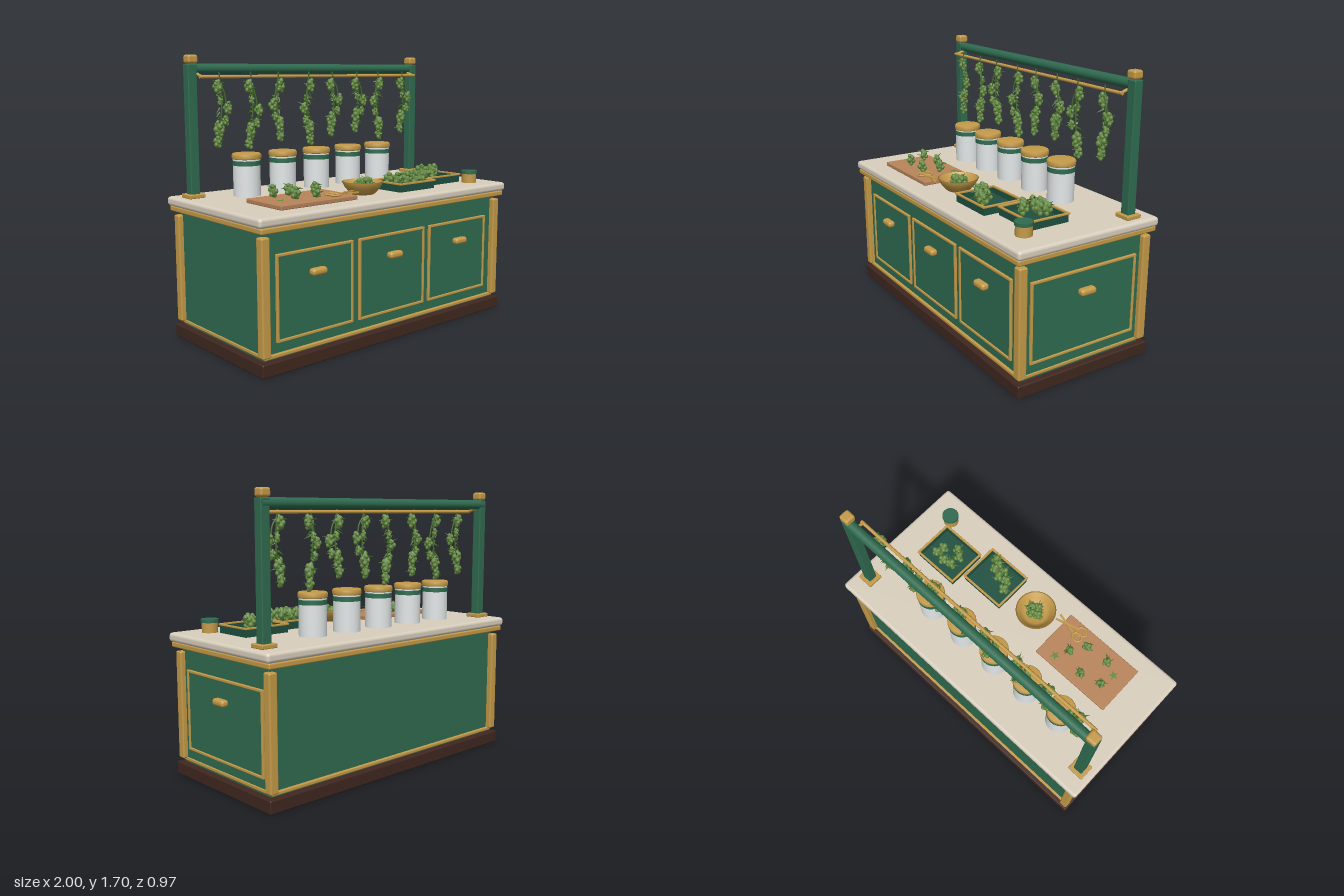
import * as THREE from 'three';
import { mergeGeometries } from 'three/addons/utils/BufferGeometryUtils.js';
import { RoundedBoxGeometry } from 'three/addons/geometries/RoundedBoxGeometry.js';

const mat = (name, color) => Object.assign(new THREE.MeshStandardMaterial({ color }), { name });

export function createModel() {
  const M = {
    green: mat('cabinet green', 0x2f6b50),
    darkGreen: mat('tray green', 0x1f5040),
    gold: mat('gold', 0xc49a48),
    brown: mat('dark plinth brown', 0x3f271f),
    stone: mat('stone worktop', 0xd9cfbe),
    white: mat('jar white', 0xe4e9e9),
    wood: mat('board wood', 0xb8845a),
    bud: mat('bud green', 0x668c42),
    leaf: mat('leaf green', 0x48702f),
  };
  M.leaf.side = THREE.DoubleSide;
  const model = new THREE.Group();
  model.name = 'herbCounter';

  let seed = 7;
  const rnd = () => (seed = (seed * 16807) % 2147483647) / 2147483647;

  const add = (name, geo, material, x = 0, y = 0, z = 0, parent = model) => {
    const m = new THREE.Mesh(geo, material);
    m.name = name;
    m.position.set(x, y, z);
    parent.add(m);
    return m;
  };
  const box = (name, material, w, h, d, x, y, z, r = 0, parent = model) =>
    add(name, r ? new RoundedBoxGeometry(w, h, d, 2, r) : new THREE.BoxGeometry(w, h, d), material, x, y, z, parent);
  const cyl = (name, material, rTop, rBot, h, x, y, z, parent = model) =>
    add(name, new THREE.CylinderGeometry(rTop, rBot, h, 32), material, x, y, z, parent);
  const group = (name, x, y, z) => {
    const g = new THREE.Group();
    g.name = name;
    g.position.set(x, y, z);
    model.add(g);
    return g;
  };

  // Cabinet body, plinth, mouldings and worktop
  box('plinth', M.brown, 1.96, 0.077, 0.926, 0, 0.0385, 0, 0.008);
  box('cabinetBody', M.green, 1.88, 0.71, 0.84, 0, 0.43, 0);
  box('bottomMoulding', M.gold, 1.89, 0.022, 0.872, 0, 0.096, 0, 0.006);
  box('topMoulding', M.gold, 1.97, 0.032, 0.95, 0, 0.794, 0, 0.008);
  box('worktop', M.stone, 2, 0.056, 0.966, 0, 0.838, 0, 0.02);
  for (const sx of [-1, 1]) for (const sz of [-1, 1])
    box('cornerPost', M.gold, 0.055, 0.655, 0.055, sx * 0.943, 0.428, sz * 0.428, 0.01);

  // Framed drawer fronts with a pull, three in front and one on the left end
  const drawer = (x, z, w, turn) => {
    const g = group('drawerFront', x, 0.408, z);
    g.rotation.y = turn;
    const h = 0.488, t = 0.016;
    box('panel', M.green, w - t, h - t, 0.008, 0, 0, 0.002, 0, g);
    for (const s of [-1, 1]) {
      box('frameRail', M.gold, w, t, 0.018, 0, s * (h - t) / 2, 0.005, 0.004, g);
      box('frameStile', M.gold, t, h, 0.018, s * (w - t) / 2, 0, 0.005, 0.004, g);
    }
    box('pull', M.gold, 0.106, 0.042, 0.05, 0, 0.113, 0.028, 0.018, g);
  };
  for (const x of [-0.589, 0, 0.585]) drawer(x, 0.42, 0.545, 0);
  drawer(0.94, 0, 0.735, Math.PI / 2);

  // Drying rack
  for (const s of [-1, 1]) {
    box('rackFoot', M.gold, 0.105, 0.024, 0.1, s * 0.905, 0.878, -0.33, 0.005);
    box('rackPost', M.green, 0.06, 0.77, 0.058, s * 0.905, 1.26, -0.329, 0.006);
    box('postCap', M.gold, 0.066, 0.05, 0.066, s * 0.9, 1.673, -0.328, 0.014);
    const arm = cyl('rodBracket', M.gold, 0.009, 0.009, 0.07, s * 0.865, 1.58, -0.292);
    arm.rotation.x = Math.PI / 2 + 0.3;
  }
  cyl('rackBeam', M.green, 0.03, 0.03, 1.84, 0, 1.618, -0.332).rotation.z = Math.PI / 2;
  cyl('hangingRod', M.gold, 0.01, 0.01, 1.76, 0, 1.572, -0.265).rotation.z = Math.PI / 2;

  // Storage jars
  for (let i = 0; i < 5; i++) {
    const g = group('storageJar', -0.615 + i * 0.2675, 0.866, -0.198);
    cyl('jarBody', M.white, 0.082, 0.082, 0.222, 0, 0.111, 0, g);
    cyl('jarBand', M.green, 0.085, 0.085, 0.028, 0, 0.198, 0, g);
    const lid = [[0, 0], [0.084, 0], [0.088, 0.005], [0.088, 0.026], [0.082, 0.034], [0, 0.036]];
    add('jarLid', new THREE.LatheGeometry(lid.map(p => new THREE.Vector2(...p)), 32), M.gold, 0, 0.221, 0, g);
  }

  // Buds: an elongated core ringed by lobes, with small pointed leaves
  const lobe = (list, x, y, z, rx, ry, rz) =>
    list.push(new THREE.IcosahedronGeometry(1, 1).scale(rx, ry, rz).translate(x, y, z));
  const spike = (list, x, y, z, len, tilt, a) =>
    list.push(new THREE.ConeGeometry(len * 0.16, len, 5).translate(0, len / 2, 0)
      .rotateZ(-tilt).rotateY(a).translate(x, y, z));
  const bud = (parts, x, y, z, r, h, n = 9) => {
    lobe(parts.buds, x, y, z, r * 0.68, h * 0.5, r * 0.68);
    for (let i = 0; i < n; i++) {
      const t = (i + 0.5) / n, a = i * 2.4 + rnd();
      const d = r * 0.62 * Math.sin(Math.PI * (0.15 + 0.75 * t)), s = r * (0.36 + 0.14 * rnd());
      lobe(parts.buds, x + Math.cos(a) * d, y + (t - 0.5) * h * 0.8, z + Math.sin(a) * d, s, s * 1.2, s);
    }
    for (let i = 0; i < 4; i++)
      spike(parts.leaves, x, y + (rnd() - 0.3) * h * 0.5, z, r * 1.6, 1 + rnd() * 0.9, rnd() * 6.28);
  };
  const finish = (name, parts) => {
    const g = group(name, 0, 0, 0);
    add('buds', mergeGeometries(parts.buds), M.bud, 0, 0, 0, g);
    add('leavesAndStems', mergeGeometries(parts.leaves), M.leaf, 0, 0, 0, g);
  };

  // Hanging bundles: [x, bottom y, side of the branch, height of the branch]
  const bundles = [[-0.757, 1.155, 1, 1.39], [-0.537, 1.134, 1, 1.37], [-0.33, 1.166, -1, 1.4], [-0.09, 1.13, -1, 1.37],
    [0.104, 1.176, 1, 1.42], [0.318, 1.19, 1, 1.41], [0.516, 1.13, -1, 1.4], [0.746, 1.166, 1, 1.42]];
  for (const [x, low, s, by] of bundles) {
    const parts = { buds: [], leaves: [] }, z = -0.256;
    const dx = s * 0.012;
    const tube = pts => parts.leaves.push(
      new THREE.TubeGeometry(new THREE.CatmullRomCurve3(pts.map(p => new THREE.Vector3(...p))), 10, 0.005, 5));
    tube([[x, 1.6, z], [x + dx, 1.48, z], [x + dx, 1.36, z], [x - dx, low + 0.05, z]]);
    tube([[x, 1.55, z], [x + s * 0.03, by + 0.08, z + 0.01], [x + s * 0.045, by - 0.06, z + 0.01]]);
    bud(parts, x - dx, 1.515, z, 0.03, 0.085);
    bud(parts, x + dx, 1.435, z - 0.008, 0.02, 0.06, 6);
    bud(parts, x + s * 0.05, by, z + 0.008, 0.028, 0.075);
    bud(parts, x + s * 0.035, by - 0.075, z + 0.01, 0.023, 0.06, 7);
    bud(parts, x - dx * 0.5, low + 0.115, z, 0.033, 0.1, 10);
    bud(parts, x - dx, low + 0.042, z - 0.005, 0.027, 0.085, 8);
    for (let i = 0; i < 12; i++)
      spike(parts.leaves, x, 1.54 - i * 0.025, z, 0.045, 1.9 + rnd() * 0.8, rnd() * 6.28);
    finish('hangingBundle', parts);
  }

  // Chopping board with trimmings
  box('choppingBoard', M.wood, 0.553, 0.026, 0.333, -0.498, 0.879, 0.194, 0.005);
  const scatter = (name, y, r, h, spots) => {
    const parts = { buds: [], leaves: [] };
    for (const [x, z] of spots) bud(parts, x, y + (rnd() - 0.5) * 0.012, z, r, h, 7);
    finish(name, parts);
  };
  scatter('boardBuds', 0.93, 0.03, 0.075,
    [[-0.66, 0.13], [-0.525, 0.1], [-0.38, 0.16], [-0.6, 0.26], [-0.445, 0.255]]);
  for (const [x, z] of [[-0.33, 0.085], [-0.68, 0.235]]) {
    const star = new THREE.Shape();
    for (let i = 0; i < 10; i++) {
      const r = i % 2 ? 0.013 : 0.034, a = i * Math.PI / 5 + x;
      star[i ? 'lineTo' : 'moveTo'](r * Math.cos(a), r * Math.sin(a));
    }
    add('looseLeaf', new THREE.ShapeGeometry(star), M.bud, x, 0.896, z).rotation.x = -Math.PI / 2;
  }

  // Scissors
  const scissors = group('scissors', -0.35, 0.901, 0.29);
  for (const s of [-1, 1]) {
    const ring = add('fingerLoop', new THREE.TorusGeometry(0.027, 0.006, 8, 24), M.gold, 0, 0, s * 0.023, scissors);
    ring.rotation.x = Math.PI / 2;
    ring.scale.x = 1.2;
    box('blade', M.gold, 0.16, 0.008, 0.011, 0.1, s * 0.003, 0, 0, scissors).rotation.y = s * 0.27;
  }
  cyl('pivot', M.gold, 0.008, 0.008, 0.018, 0.09, 0, 0, scissors);

  // Bowl of buds
  const bowl = [[0, 0], [0.07, 0], [0.08, 0.008], [0.108, 0.04], [0.128, 0.076], [0.118, 0.078], [0.098, 0.042], [0.07, 0.018], [0, 0.014]];
  add('bowl', new THREE.LatheGeometry(bowl.map(p => new THREE.Vector2(...p)), 40), M.gold, -0.05, 0.866, 0.213);
  scatter('bowlBuds', 0.925, 0.033, 0.075,
    [[-0.075, 0.205], [-0.035, 0.185], [-0.01, 0.215], [-0.045, 0.24], [-0.025, 0.21]]);

  // Trays with gold rims
  const tray = (x, z) => {
    const g = group('tray', x, 0.866, z), w = 0.304, d = 0.26;
    box('trayFloor', M.darkGreen, w, 0.012, d, 0, 0.006, 0, 0, g);
    for (const s of [-1, 1]) {
      box('trayLongWall', M.darkGreen, w, 0.046, 0.01, 0, 0.023, s * (d / 2 - 0.005), 0, g);
      box('trayShortWall', M.darkGreen, 0.01, 0.046, d, s * (w / 2 - 0.005), 0.023, 0, 0, g);
      box('trayLongRim', M.gold, w + 0.012, 0.012, 0.014, 0, 0.05, s * d / 2, 0.003, g);
      box('trayShortRim', M.gold, 0.014, 0.012, d + 0.014, s * w / 2, 0.05, 0, 0.003, g);
    }
  };
  tray(0.298, 0.212);
  tray(0.633, 0.13);
  scatter('firstTrayBuds', 0.935, 0.034, 0.085,
    [[0.2, 0.185], [0.225, 0.235], [0.285, 0.225], [0.275, 0.27], [0.335, 0.245], [0.375, 0.3], [0.34, 0.285]]);
  scatter('secondTrayBuds', 0.935, 0.034, 0.085,
    [[0.57, 0.08], [0.62, 0.065], [0.69, 0.08], [0.565, 0.15], [0.605, 0.18], [0.68, 0.125]]);

  // Small tin
  cyl('tinBody', M.gold, 0.048, 0.048, 0.06, 0.813, 0.896, 0.322);
  cyl('tinLid', M.green, 0.053, 0.053, 0.02, 0.813, 0.936, 0.322);

  return model;
}
